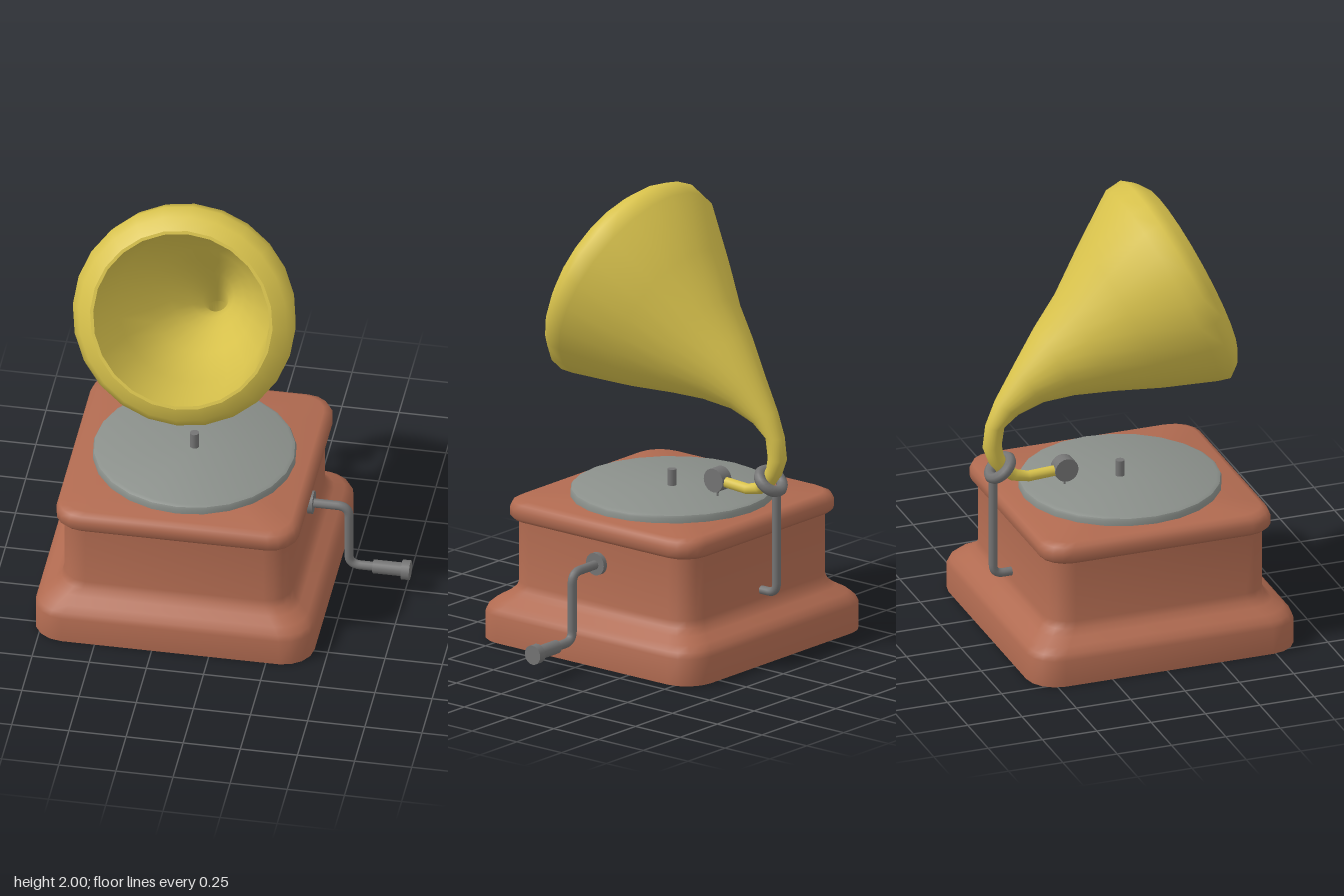
import * as THREE from 'three';
import { toCreasedNormals } from 'three/addons/utils/BufferGeometryUtils.js';

const CX = -0.17, CZ = 0.012; // cabinet centre

const material = (color, side = THREE.FrontSide) => new THREE.MeshStandardMaterial({ color, side });

// Skin a list of closed rings (arrays of Vector3 of equal length)
function loft(rings) {
  const n = rings[0].length, index = [];
  for (let j = 0; j < rings.length - 1; j++) {
    for (let i = 0; i < n; i++) {
      const k = (i + 1) % n;
      const a = j * n + i, b = j * n + k, c = a + n, d = b + n;
      index.push(a, c, b, b, c, d);
    }
  }
  const geometry = new THREE.BufferGeometry().setFromPoints(rings.flat());
  geometry.setIndex(index);
  geometry.computeVertexNormals();
  return geometry;
}

// Horizontal rounded square of half-width h at height y
function squareRing(h, y) {
  const r = h * 0.22, steps = 4, points = [];
  for (let corner = 0; corner < 4; corner++) {
    const mid = (corner + 0.5) * Math.PI / 2;
    const x = Math.sign(Math.cos(mid)) * (h - r), z = Math.sign(Math.sin(mid)) * (h - r);
    for (let s = 0; s <= steps; s++) {
      const t = (corner + s / steps) * Math.PI / 2;
      points.push(new THREE.Vector3(x + r * Math.cos(t), y, z + r * Math.sin(t)));
    }
  }
  return points;
}

// Circle spanning two opposite points of the side outline, [z, y, z, y]
function hornRing([z1, y1, z2, y2], scale = 1) {
  const centre = new THREE.Vector3(CX, (y1 + y2) / 2, (z1 + z2) / 2);
  const up = new THREE.Vector3(CX, y1, z1).sub(centre).multiplyScalar(scale);
  const across = new THREE.Vector3(up.length(), 0, 0);
  return Array.from({ length: 24 }, (_, i) => {
    const t = i / 24 * Math.PI * 2;
    return centre.clone().addScaledVector(across, Math.cos(t)).addScaledVector(up, Math.sin(t));
  });
}

// Round rod along straight legs joined by rounded bends
function bentRod(points, radius, bend) {
  const p = points.map(a => new THREE.Vector3(...a));
  const path = new THREE.CurvePath();
  let from = p[0];
  for (let i = 1; i < p.length - 1; i++) {
    const start = p[i].clone().add(p[i - 1].clone().sub(p[i]).setLength(bend));
    const end = p[i].clone().add(p[i + 1].clone().sub(p[i]).setLength(bend));
    path.add(new THREE.LineCurve3(from, start));
    path.add(new THREE.QuadraticBezierCurve3(start, p[i], end));
    from = end;
  }
  path.add(new THREE.LineCurve3(from, p[p.length - 1]));
  return new THREE.TubeGeometry(path, 60, radius, 12);
}

export function createModel() {
  const model = new THREE.Group();
  const wood = material(0xb06a50), steel = material(0x747474), plate = material(0x8a8f8a);
  const brass = material(0xd8c24c, THREE.DoubleSide);

  const add = (name, geometry, mat, x = 0, y = 0, z = 0, parent = model) => {
    const mesh = new THREE.Mesh(geometry, mat);
    mesh.name = name;
    mesh.position.set(x, y, z);
    parent.add(mesh);
    return mesh;
  };

  // Cabinet: flared plinth, straight walls and rounded lid
  const cabinet = [
    [0.001, 0], [0.61, 0], [0.61, 0.12], [0.6, 0.145], [0.575, 0.17], [0.535, 0.195], [0.51, 0.22],
    [0.5, 0.25], [0.5, 0.535], [0.518, 0.535], [0.53, 0.55], [0.53, 0.585], [0.52, 0.61],
    [0.495, 0.623], [0.001, 0.623],
  ];
  add('cabinet', toCreasedNormals(loft(cabinet.map(([h, y]) => squareRing(h, y))), 0.9), wood, CX, 0, CZ);

  // Turntable and spindle
  const disc = [[0.44, 0.62], [0.44, 0.645], [0.435, 0.655], [0.42, 0.663], [0, 0.663]];
  const discGeometry = new THREE.LatheGeometry(disc.map(p => new THREE.Vector2(...p)), 24);
  add('turntable', toCreasedNormals(discGeometry, 0.6), plate, CX, 0, CZ);
  add('spindle', new THREE.CylinderGeometry(0.02, 0.02, 0.08, 12), steel, CX, 0.695, CZ);

  // Horn: rolled lip, bell and curved neck running into the tone arm
  const lip = [[0.19, 1.95, 0.49, 1.21], [0.135, 1.985, 0.483, 1.145], [0.08, 2, 0.455, 1.1]];
  const bell = [
    [0.01, 1.965, 0.4, 1.095], [-0.135, 1.74, 0.16, 1.09], [-0.257, 1.54, -0.05, 1.097],
    [-0.363, 1.405, -0.22, 1.097], [-0.47, 1.245, -0.35, 1.08], [-0.56, 1.1, -0.46, 1.035],
    [-0.606, 0.99, -0.522, 0.985],
  ];
  const arm = [
    [-0.618, 0.89, -0.535, 0.9], [-0.59, 0.815, -0.525, 0.85], [-0.55, 0.763, -0.5, 0.803],
    [-0.49, 0.72, -0.46, 0.765], [-0.41, 0.703, -0.41, 0.75], [-0.25, 0.712, -0.25, 0.758],
  ];
  const horn = new THREE.Group();
  horn.name = 'horn';
  model.add(horn);
  add('hornShell', loft([...lip, ...bell, ...arm].map(r => hornRing(r))), brass, 0, 0, 0, horn);
  const inside = [hornRing(lip[0], 0.965), ...bell.slice(1).map(r => hornRing(r, 0.94))];
  add('hornInside', loft(inside.reverse()), brass, 0, 0, 0, horn);
  add('hornRim', loft([hornRing(lip[0], 0.965), hornRing(lip[0])]), brass, 0, 0, 0, horn);

  // Sound box and needle at the end of the tone arm
  add('soundBox', new THREE.CylinderGeometry(0.053, 0.053, 0.06, 20), steel, CX, 0.738, -0.243).rotation.z = Math.PI / 2;
  add('needle', new THREE.CylinderGeometry(0.006, 0.004, 0.04, 8), steel, CX, 0.68, -0.243);

  // Horn collar and its bracket on the back of the cabinet
  add('hornCollar', new THREE.TorusGeometry(0.057, 0.025, 8, 24), steel, CX, 0.788, -0.54).rotation.x = 0.85;
  add('hornBracket', bentRod([[CX, 0.77, -0.572], [CX, 0.288, -0.572], [CX, 0.288, -0.47]], 0.019, 0.045), steel);

  // Crank on the model's left side
  const crank = new THREE.Group();
  crank.name = 'crank';
  crank.position.z = CZ;
  model.add(crank);
  const turned = (name, radius, x1, x2, y) => {
    const geometry = new THREE.CylinderGeometry(radius, radius, x2 - x1, 20);
    add(name, geometry, steel, (x1 + x2) / 2, y, 0, crank).rotation.z = Math.PI / 2;
  };
  turned('crankFlange', 0.05, 0.32, 0.352, 0.428);
  const crankPath = [[0.34, 0.425, 0], [0.505, 0.425, 0], [0.505, 0.118, 0], [0.62, 0.118, 0]];
  add('crankRod', bentRod(crankPath, 0.02, 0.05), steel, 0, 0, 0, crank);
  turned('crankHandle', 0.03, 0.612, 0.75, 0.118);
  turned('handleCap', 0.043, 0.738, 0.774, 0.118);

  return model;
}
